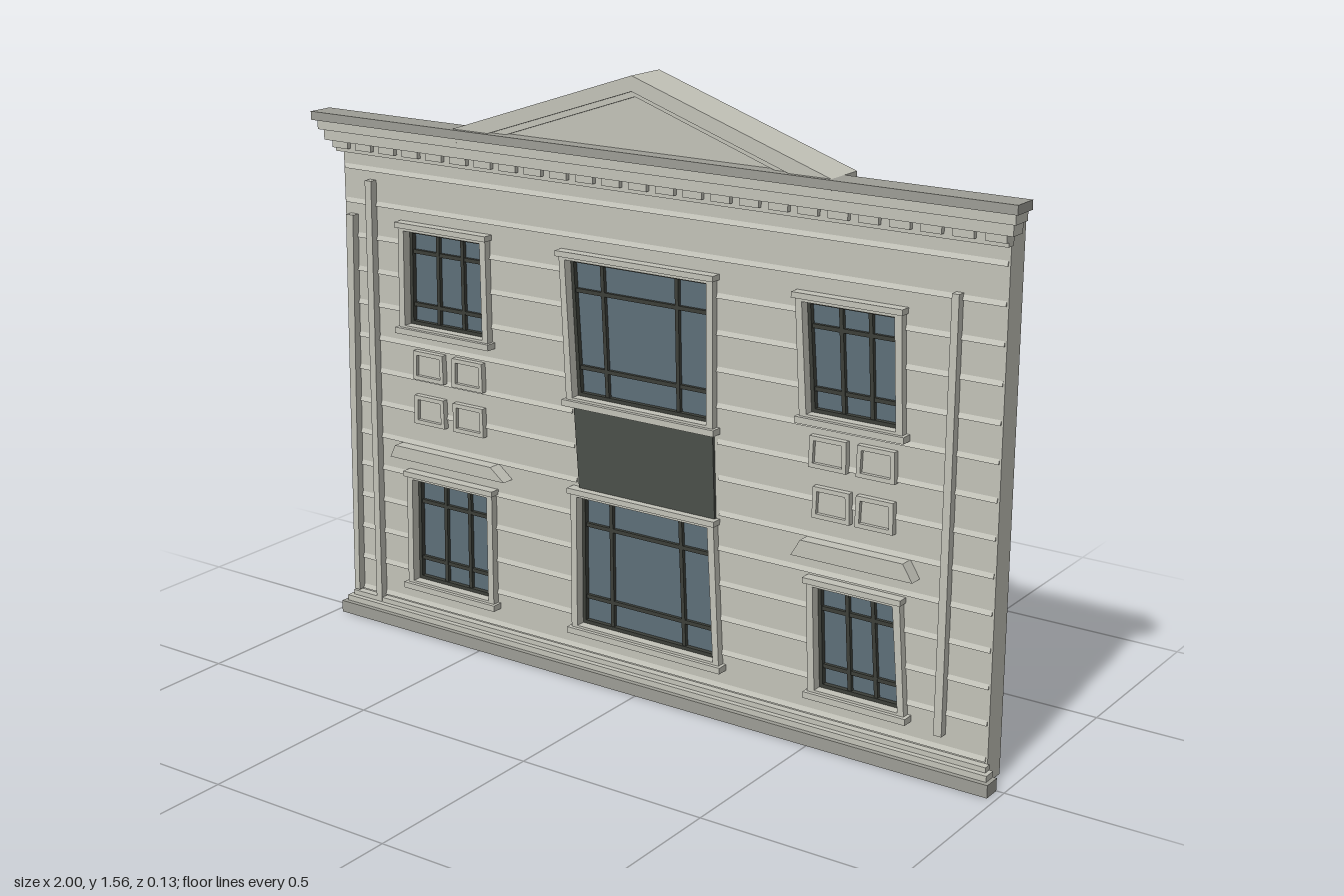
import * as THREE from 'three';

const material = (name, color) => {
  const m = new THREE.MeshStandardMaterial({ color });
  m.name = name;
  return m;
};

export function createModel() {
  const group = new THREE.Group();
  const wallMat = material('pale stone', 0xc3c3b9);
  const trimMat = material('dark stone', 0x9e9e96);
  const glassMat = material('blue grey glass', 0x5d6f79);
  const barMat = material('dark window bars', 0x3c3f39);
  const panelMat = material('charcoal panel', 0x4b4f49);

  const add = (name, geo, mat, parent = group) => {
    const mesh = new THREE.Mesh(geo, mat);
    mesh.name = name;
    parent.add(mesh);
    return mesh;
  };
  const pts = (list) => list.map(([x, y]) => new THREE.Vector2(x, y));
  // Flat outline with optional holes, extruded from z0 to z1
  const slab = (name, outline, z0, z1, mat, parent, holes = []) => {
    const shape = new THREE.Shape(pts(outline));
    holes.forEach((h) => shape.holes.push(new THREE.Path(pts(h))));
    const geo = new THREE.ExtrudeGeometry(shape, { depth: z1 - z0, bevelEnabled: false });
    return add(name, geo.translate(0, 0, z0), mat, parent);
  };
  const box = (name, x0, x1, y0, y1, z0, z1, mat, parent) =>
    add(name, new THREE.BoxGeometry(x1 - x0, y1 - y0, z1 - z0)
      .translate((x0 + x1) / 2, (y0 + y1) / 2, (z0 + z1) / 2), mat, parent);
  // Four corners of a leaning opening, grown outwards by d
  const quad = ([tl, tr, yt, bl, br, yb], d = 0) =>
    [[bl - d, yb - d], [br + d, yb - d], [tr + d, yt + d], [tl - d, yt + d]];
  const lerp = (a, b, t) => a + (b - a) * t;

  // Openings: top left x, top right x, top y, bottom left x, bottom right x, bottom y
  const windows = [
    { q: [-0.743, -0.494, 1.09, -0.747, -0.491, 0.84], u: [0.36, 0.68] },
    { q: [-0.228, 0.186, 1.085, -0.208, 0.19, 0.738], u: [0.22, 0.75] },
    { q: [0.447, 0.688, 1.08, 0.465, 0.70, 0.815], u: [0.36, 0.68] },
    { q: [-0.738, -0.488, 0.42, -0.743, -0.488, 0.135], u: [0.36, 0.68] },
    { q: [-0.198, 0.194, 0.48, -0.198, 0.214, 0.135], u: [0.22, 0.75] },
    { q: [0.492, 0.706, 0.395, 0.503, 0.728, 0.135], u: [0.36, 0.68] },
  ];
  const spandrel = [-0.213, 0.2, 0.72, -0.198, 0.208, 0.498];

  // Wall with window openings
  slab('wall', [[-0.955, 0.01], [0.955, 0.01], [0.955, 1.34], [-0.955, 1.34]], -0.065, 0,
    wallMat, group, windows.map((w) => quad(w.q)));

  // Siding: thin wedge lips, interrupted at the openings
  const siding = new THREE.Group();
  siding.name = 'siding';
  group.add(siding);
  const cuts = [...windows.map((w) => w.q), spandrel];
  const lip = (x0, x1, y) => {
    const s = new THREE.Shape(pts([[0, y], [0, y + 0.012], [-0.005, y]]));
    const g = new THREE.ExtrudeGeometry(s, { depth: x1 - x0, bevelEnabled: false });
    add('sidingEdge', g.rotateY(Math.PI / 2).translate(x0, 0, 0), wallMat, siding);
  };
  for (let i = 0; i < 14; i++) {
    const y = 0.065 + i * 0.0895;
    let x = -0.95;
    cuts.filter((c) => y < c[2] + 0.01 && y > c[5] - 0.01)
      .map((c) => {
        const t = (c[2] - y) / (c[2] - c[5]);
        return [lerp(c[0], c[3], t) - 0.01, lerp(c[1], c[4], t) + 0.01];
      })
      .sort((a, b) => a[0] - b[0])
      .forEach(([a, b]) => { lip(x, a, y); x = b; });
    lip(x, 0.95, y);
  }

  // Windows: casing, dark sash, glazing bars, glass, head and sill
  windows.forEach(({ q, u }) => {
    const win = new THREE.Group();
    win.name = 'window';
    group.add(win);
    const [tl, tr, yt, bl, br, yb] = q;
    slab('casing', quad(q, 0.018), 0, 0.02, wallMat, win, [quad(q, 0)]);
    slab('sash', quad(q, 0), -0.03, -0.005, barMat, win, [quad(q, -0.009)]);
    slab('glass', quad(q, -0.004), -0.022, -0.018, glassMat, win);
    box('head', tl - 0.024, tr + 0.024, yt + 0.008, yt + 0.022, 0, 0.028, wallMat, win);
    box('sill', bl - 0.026, br + 0.026, yb - 0.022, yb - 0.006, 0, 0.03, wallMat, win);
    u.forEach((f) => {
      const a = lerp(tl, tr, f), b = lerp(bl, br, f);
      slab('uprightBar', quad([a - 0.005, a + 0.005, yt, b - 0.005, b + 0.005, yb]),
        -0.028, -0.008, barMat, win);
    });
    [0.23, 0.79].forEach((f) => {
      box('crossBar', lerp(tl, bl, f), lerp(tr, br, f), lerp(yt, yb, f) - 0.005,
        lerp(yt, yb, f) + 0.005, -0.027, -0.009, barMat, win);
    });
  });

  // Dark panel between the middle windows
  slab('spandrelPanel', quad(spandrel), 0, 0.008, panelMat);

  // Leaning pilaster strips
  [[-0.937, -0.913, 1.11, -0.955, -0.938, 0.065], [-0.868, -0.847, 1.207, -0.877, -0.858, 0.05],
    [0.828, 0.846, 1.155, 0.824, 0.845, 0.105]]
    .forEach((q) => slab('pilasterStrip', quad(q), 0, 0.021, wallMat));

  // Small framed panels, two by two on each side
  const framed = (x0, x1, y0, y1) => {
    const q = [x0, x1, y1, x0 - 0.002, x1 + 0.002, y0];
    slab('panelFrame', quad(q), 0, 0.016, wallMat, group, [quad(q, -0.011)]);
    slab('panelField', quad(q, -0.011), 0, 0.006, wallMat);
  };
  [[-0.725, 0.698], [-0.596, 0.698], [-0.725, 0.578], [-0.596, 0.578],
    [0.473, 0.688], [0.6, 0.688], [0.485, 0.566], [0.6, 0.566]]
    .forEach(([x, y]) => framed(x, x + 0.097, y, y + 0.077));

  // Hoods over the lower side windows
  [[-0.78, -0.46, 0.512, -0.797, -0.417, 0.478], [0.465, 0.738, 0.512, 0.44, 0.764, 0.47]]
    .forEach((q) => slab('windowHood', quad(q), 0, 0.036, wallMat));

  // Stepped base
  box('baseCourse', -0.98, 0.98, 0, 0.032, 0, 0.047, trimMat);
  box('baseStep', -0.97, 0.97, 0.032, 0.047, 0, 0.034, wallMat);
  box('baseFillet', -0.96, 0.96, 0.047, 0.06, 0, 0.02, wallMat);

  // Stepped cornice with dentils
  box('corniceTop', -1, 1, 1.358, 1.38, 0, 0.07, trimMat);
  box('corniceUpper', -0.99, 0.99, 1.333, 1.358, 0, 0.057, wallMat);
  box('corniceMiddle', -0.98, 0.98, 1.305, 1.333, 0, 0.045, wallMat);
  box('dentilBacking', -0.96, 0.96, 1.275, 1.305, 0, 0.024, wallMat);
  for (let i = 0; i < 25; i++) {
    const x = -0.935 + i * (1.87 / 24);
    box('dentil', x - 0.026, x + 0.026, 1.286, 1.305, 0, 0.036, wallMat);
  }

  // Pediment: raking cornice, mouldings and recessed tympanum
  const chevron = (name, w, top, end, drop, z0, z1) =>
    slab(name, [[-w, end], [0, top], [w, end], [w, end - drop], [0, top - drop], [-w, end - drop]]
      .reverse(), z0, z1, wallMat);
  chevron('rakingCornice', 0.54, 1.56, 1.38, 0.037, -0.055, 0.058);
  chevron('rakingMoulding', 0.525, 1.527, 1.35, 0.018, -0.045, 0.044);
  chevron('backMoulding', 0.53, 1.54, 1.364, 0.022, -0.065, -0.05);
  slab('tympanum', [[-0.52, 1.342], [0.52, 1.342], [0, 1.52]], -0.048, 0.03, wallMat);
  return group;
}
